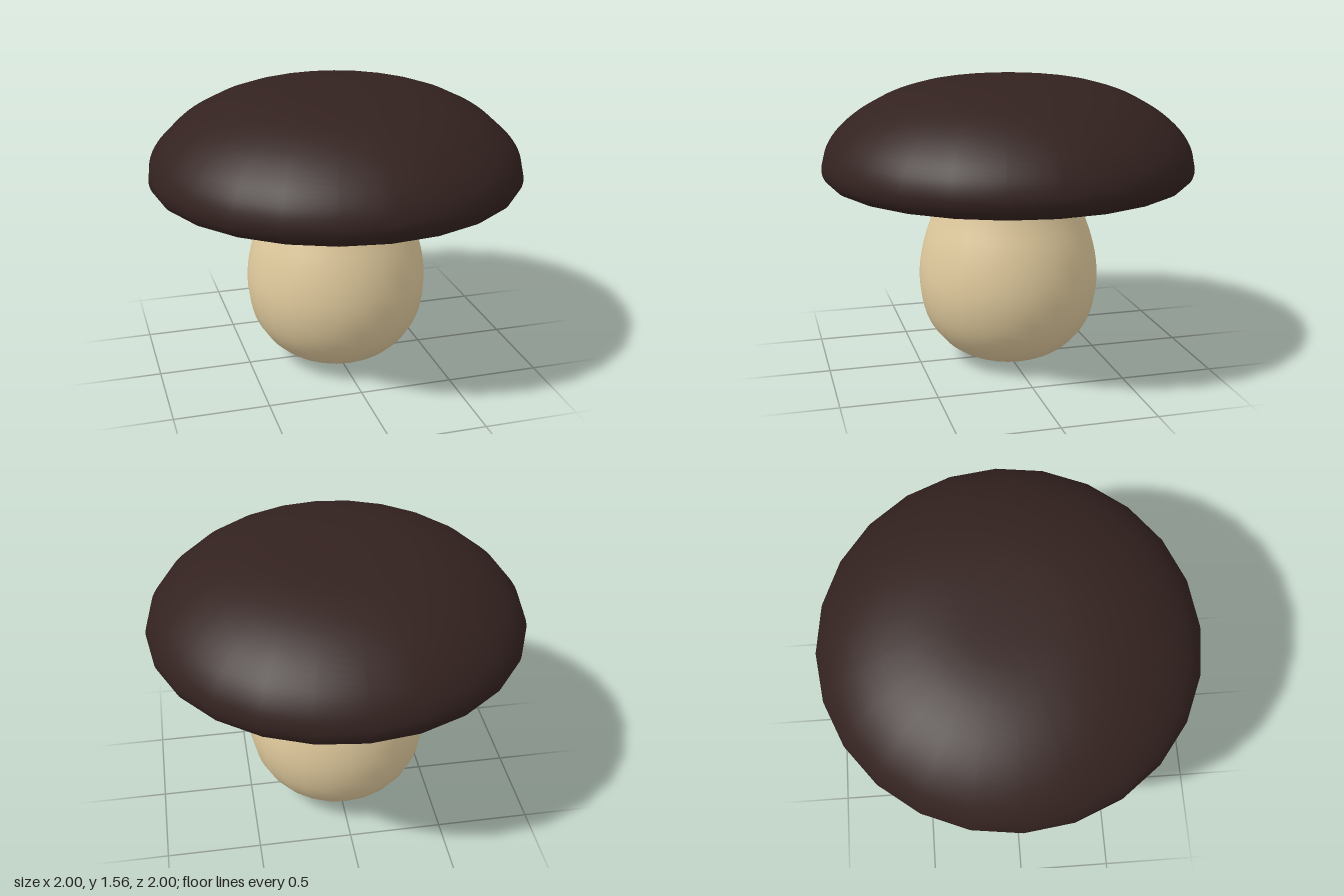
import * as THREE from 'three';

const SIDES = 24;

// Revolves a smooth curve through [radius, height] points around the y axis
function turned(name, color, points, steps) {
  const curve = new THREE.SplineCurve(points.map(([r, y]) => new THREE.Vector2(r, y)));
  const profile = curve.getPoints(steps);
  profile.forEach((p) => { p.x = Math.max(p.x, 0); });
  const mesh = new THREE.Mesh(
    new THREE.LatheGeometry(profile, SIDES),
    new THREE.MeshStandardMaterial({ color, side: THREE.DoubleSide })
  );
  mesh.name = name;
  return mesh;
}

export function createModel() {
  const group = new THREE.Group();
  group.name = 'mushroom';

  // Bulbous stem, flaring at the neck into the hollow underside and out to the rim
  group.add(turned('stemAndUnderside', 0xdfc99c, [
    [0, 0], [0.1, 0.006], [0.2, 0.03], [0.31, 0.083], [0.4, 0.17], [0.46, 0.28],
    [0.49, 0.42], [0.485, 0.56], [0.455, 0.7], [0.41, 0.83], [0.385, 0.93],
    [0.39, 1.02], [0.42, 1.11], [0.49, 1.165], [0.58, 1.165], [0.69, 1.11],
    [0.79, 1.045], [0.85, 1.015], [0.9, 1.01], [0.935, 1.017],
  ], 57));

  // Domed cap with a rounded rim and a nearly flat crown
  group.add(turned('cap', 0x33221f, [
    [0.9, 1.01], [0.94, 1.018], [0.975, 1.042], [0.995, 1.08], [0.998, 1.13],
    [0.973, 1.205], [0.91, 1.293], [0.8, 1.387], [0.66, 1.465], [0.5, 1.52],
    [0.35, 1.548], [0.2, 1.558], [0, 1.56],
  ], 48));

  return group;
}
